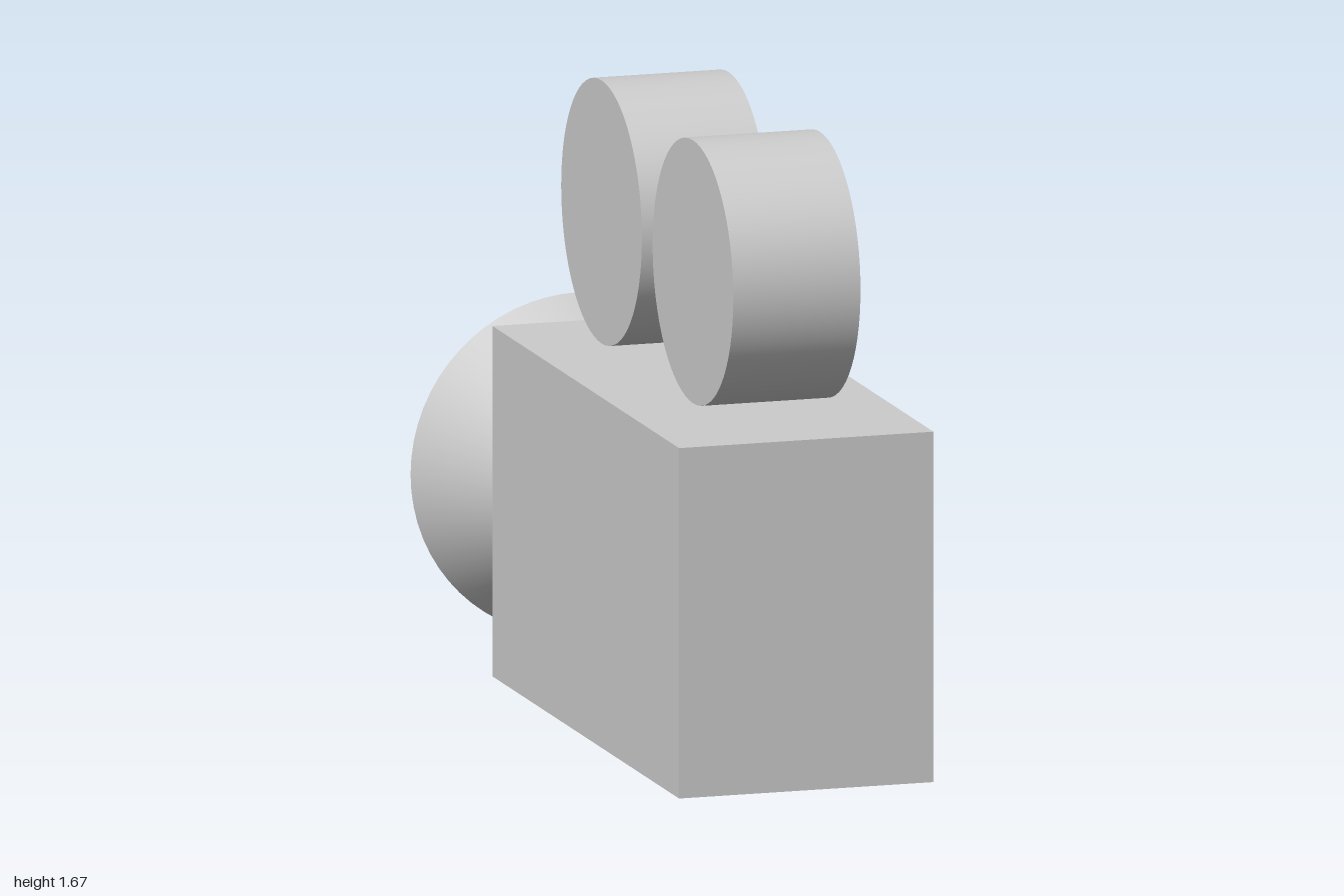
import * as THREE from 'three';
import { toCreasedNormals } from 'three/addons/utils/BufferGeometryUtils.js';

export function createModel() {
  const model = new THREE.Group();
  model.name = 'movieCamera';
  const material = new THREE.MeshStandardMaterial({ color: 0xcccccc });

  const add = (name, geometry, x, y, z) => {
    const mesh = new THREE.Mesh(geometry, material);
    mesh.name = name;
    mesh.position.set(x, y, z);
    model.add(mesh);
  };

  // Camera body
  add('body', new THREE.BoxGeometry(0.7, 0.94, 1.633), 0, 0.47, 0.1835);

  // Two film reels hovering just above the body, axes along x
  const reel = new THREE.CylinderGeometry(0.353, 0.353, 0.35, 64).rotateZ(Math.PI / 2);
  add('frontReel', reel, 0, 1.315, 0.565);
  add('rearReel', reel, 0, 1.315, -0.235);

  // Flared lens hood with a shallow tapered recess, opening towards -z
  const profile = [
    [0, 0], [0.275, 0], [0.46, 0.367], [0.335, 0.367], [0.285, 0.267], [0, 0.267],
  ].map(([r, h]) => new THREE.Vector2(r, h));
  const hood = toCreasedNormals(new THREE.LatheGeometry(profile, 64), 0.6).rotateX(-Math.PI / 2);
  add('lensHood', hood, 0, 0.475, -0.633);

  return model;
}
